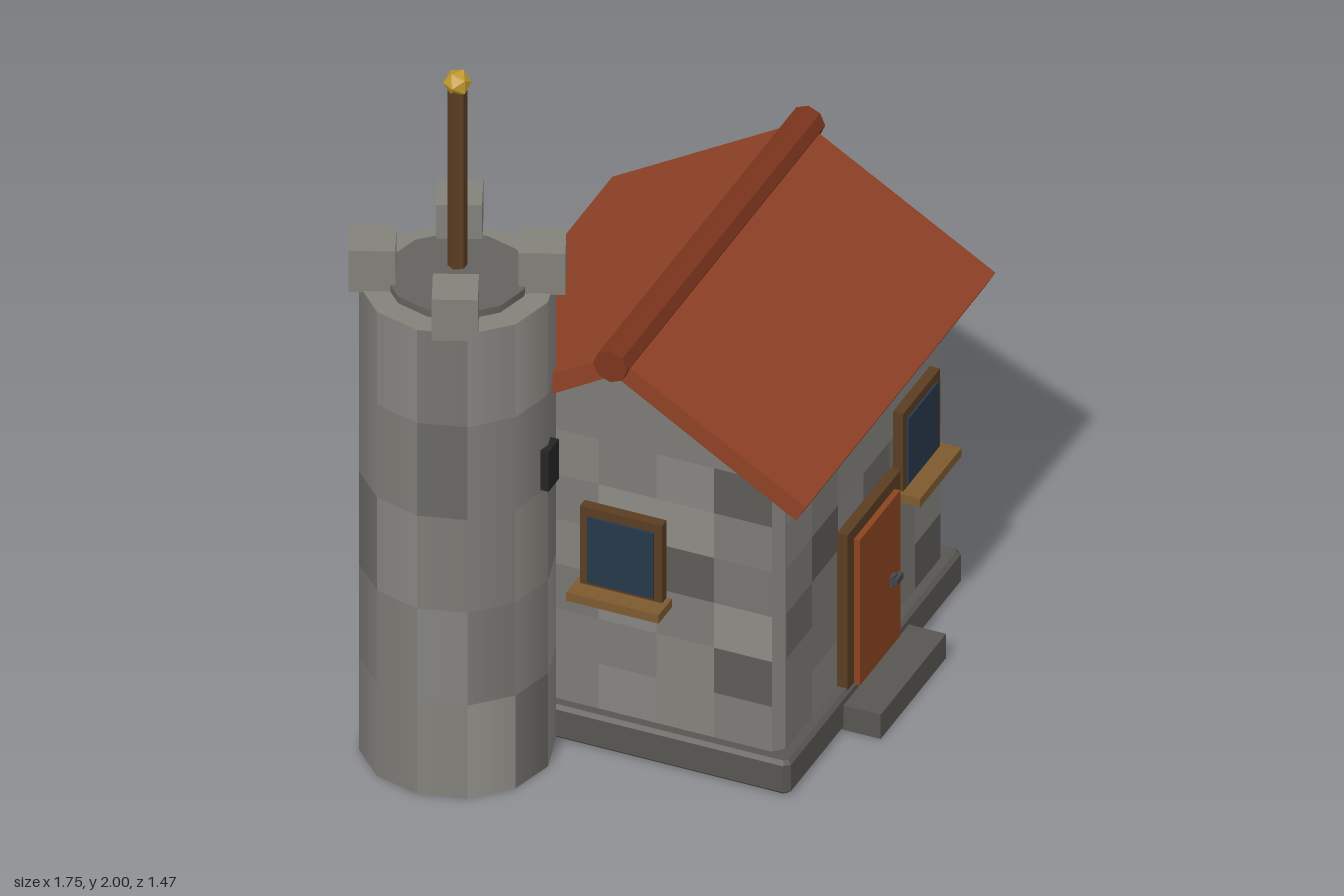
import * as THREE from 'three';

const mat = (color, extra = {}) => new THREE.MeshStandardMaterial({ color, ...extra });
const M = {
  wall: mat(0x7d7b76), base: mat(0x575652), roof: mat(0x8f4226), ridge: mat(0x7c351d),
  wood: mat(0x5a3d22), sill: mat(0x7d5a30), door: mat(0x8a4420), glass: mat(0x27384a),
  dark: mat(0x242424), metal: mat(0x45464a), floor: mat(0x64635e), merlon: mat(0x82817a),
  pole: mat(0x5a3d22, { flatShading: true }), gold: mat(0xc09a30, { flatShading: true }),
};
const greys = [0x7d7b76, 0x777571, 0x7d7b76, 0x8e8c86, 0x5c5b58, 0x84827c, 0x7d7b76, 0x6a6965, 0x858481];
const stones = greys.map((c) => mat(c, { side: THREE.DoubleSide }));

// Small seeded generator for the stone shades
let seed = 7;
const pickStone = () => {
  seed = (seed * 16807) % 2147483647;
  return stones[Math.floor((seed / 2147483647) * stones.length)];
};

function add(parent, name, geometry, material, x = 0, y = 0, z = 0) {
  const mesh = new THREE.Mesh(geometry, material);
  mesh.name = name;
  mesh.position.set(x, y, z);
  parent.add(mesh);
  return mesh;
}

// Box given by its centre in x, its bottom and top, and its back and front in z
const slab = (parent, name, material, x, w, y0, y1, z0, z1) =>
  add(parent, name, new THREE.BoxGeometry(w, y1 - y0, z1 - z0), material, x, (y0 + y1) / 2, (z0 + z1) / 2);

// Chamfered prism along z, centred, from a list of 2D points
function prism(points, length, bevel) {
  const shape = new THREE.Shape(points.map(([x, y]) => new THREE.Vector2(x, y)));
  return new THREE.ExtrudeGeometry(shape, {
    depth: length - 2 * bevel, bevelEnabled: bevel > 0, bevelSegments: 1,
    bevelSize: bevel, bevelThickness: bevel, bevelOffset: -bevel,
  }).translate(0, 0, -length / 2 + bevel);
}

// Patchwork of flat stones on a wall facing +z
function stoneWall(parent, name, width, y0, y1, z, cols, rows) {
  const group = new THREE.Group();
  group.name = name;
  const w = width / cols, h = (y1 - y0) / rows;
  for (let r = 0; r < rows; r++)
    for (let c = 0; c < cols; c++)
      add(group, 'wallStone', new THREE.PlaneGeometry(w, h), pickStone(),
        -width / 2 + (c + 0.5) * w, y0 + (r + 0.5) * h, z);
  parent.add(group);
}

// Framed window with a sill, on a wall at depth z
function addWindow(parent, x, z) {
  const group = new THREE.Group();
  group.name = 'window';
  slab(group, 'windowFrame', M.wood, x, 0.222, 0.475, 0.71, z - 0.02, z + 0.03);
  slab(group, 'windowGlass', M.glass, x, 0.18, 0.49, 0.685, z, z + 0.036);
  slab(group, 'windowSill', M.sill, x, 0.25, 0.455, 0.48, z - 0.02, z + 0.082);
  parent.add(group);
}

function createHouse() {
  const house = new THREE.Group();
  house.name = 'house';
  const a = 0.49, b = 0.416;

  // Plinth with chamfered edges
  const px = 0.526, pz = 0.452, c = 0.015;
  const plan = [[-px + c, -pz], [px - c, -pz], [px, -pz + c], [px, pz - c],
    [px - c, pz], [-px + c, pz], [-px, pz - c], [-px, -pz + c]];
  add(house, 'plinth', prism(plan, 0.098, 0.01).rotateX(-Math.PI / 2), M.base, 0, 0.051, 0);
  slab(house, 'doorStep', M.base, 0, 0.394, 0.002, 0.074, 0.43, 0.553);

  // Gabled walls, their sloping tops sunk into the roof
  const gable = [[-b, 0.05], [b, 0.05], [b, 0.94], [0, 1.185], [-b, 0.94]];
  add(house, 'walls', prism(gable, 2 * a, 0.025).rotateY(Math.PI / 2), M.wall);
  stoneWall(house, 'frontStones', 2 * a - 0.05, 0.1, 0.9, b + 0.002, 6, 6);

  // Left gable side, built facing +z and turned
  const side = new THREE.Group();
  side.name = 'gableSide';
  side.rotation.y = -Math.PI / 2;
  stoneWall(side, 'gableStones', 2 * b - 0.05, 0.1, 0.9, a + 0.002, 5, 6);
  addWindow(side, -0.005, a);
  house.add(side);

  // Roof and ridge
  const chevron = [[-0.519, 0.91], [-0.492, 0.863], [0, 1.16], [0.492, 0.863], [0.519, 0.91], [0, 1.218]];
  add(house, 'roof', prism(chevron, 1.142, 0).rotateY(Math.PI / 2), M.roof);
  const ridge = new THREE.CylinderGeometry(0.046, 0.046, 1.194, 8).toNonIndexed();
  ridge.computeVertexNormals();
  add(house, 'ridge', ridge.rotateZ(Math.PI / 2), M.ridge, 0, 1.202, 0);

  // Door, its frame reaching the ground, and front window
  slab(house, 'doorFrame', M.wood, 0, 0.32, 0, 0.555, 0.375, 0.447);
  slab(house, 'door', M.door, 0, 0.245, 0.09, 0.522, 0.4, 0.463);
  slab(house, 'doorHandlePlate', M.metal, 0.068, 0.022, 0.273, 0.305, 0.455, 0.474);
  slab(house, 'doorHandle', M.metal, 0.08, 0.04, 0.28, 0.298, 0.468, 0.482);
  addWindow(house, 0.288, b);
  return house;
}

function createTower() {
  const tower = new THREE.Group();
  tower.name = 'tower';
  const R = 0.245, H = 1.38, sides = 12, rows = 5, step = (2 * Math.PI) / sides;

  // Round wall made of stone patches
  for (let r = 0; r < rows; r++)
    for (let s = 0; s < sides; s++)
      add(tower, 'towerStone', new THREE.CylinderGeometry(R, R, H / rows, 1, 1, true, s * step, step),
        pickStone(), 0, (r + 0.5) * (H / rows), 0);
  add(tower, 'towerTop', new THREE.CircleGeometry(R, sides).rotateX(-Math.PI / 2), M.merlon, 0, H, 0);
  add(tower, 'towerFloor', new THREE.CylinderGeometry(0.18, 0.18, 0.04, sides), M.floor, 0, 1.38, 0);

  // Battlements
  for (let i = 0; i < 4; i++) {
    const t = 0.65 + (i * Math.PI) / 2;
    add(tower, 'merlon', new THREE.BoxGeometry(0.116, 0.122, 0.114), M.merlon,
      0.21 * Math.cos(t), 1.438, 0.21 * Math.sin(t)).rotation.y = -t;
  }

  // Slit window
  const t = 0.54;
  add(tower, 'towerWindow', new THREE.BoxGeometry(0.064, 0.118, 0.034), M.dark,
    0.242 * Math.sin(t), 0.896, 0.242 * Math.cos(t)).rotation.y = t;

  // Flagpole with finial
  add(tower, 'flagpole', new THREE.CylinderGeometry(0.025, 0.025, 0.54, 6), M.pole, 0, 1.695, 0);
  add(tower, 'finial', new THREE.IcosahedronGeometry(0.036), M.gold, 0, 1.967, 0);
  return tower;
}

export function createModel() {
  const model = new THREE.Group();
  model.name = 'houseWithTower';
  const house = createHouse();
  house.position.set(0.121, 0, -0.002);
  house.rotation.y = Math.PI / 6;
  const tower = createTower();
  tower.position.set(-0.631, 0, -0.022);
  model.add(house, tower);
  return model;
}
